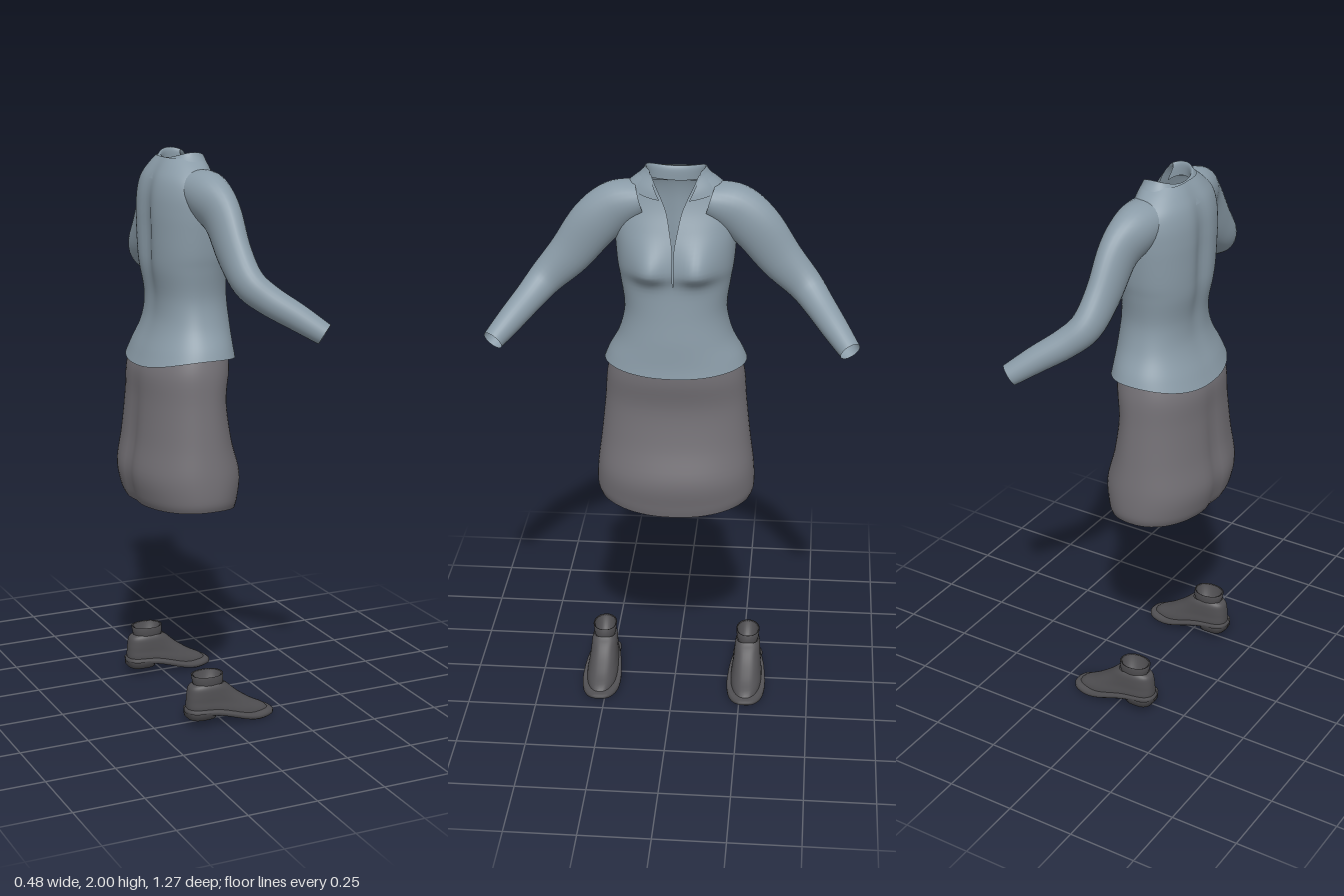
import * as THREE from 'three';
import { mergeVertices } from 'three/addons/utils/BufferGeometryUtils.js';

const mat = (name, color) => {
  const m = new THREE.MeshStandardMaterial({ color, side: THREE.DoubleSide });
  m.name = name;
  return m;
};

// Catmull-Rom value between b and c
const spline = (a, b, c, d, t) => 0.5 * (2 * b + (c - a) * t
  + (2 * a - 5 * b + 4 * c - d) * t * t + (3 * b - a - 3 * c + d) * t * t * t);

// Smooth in-between rows for a table of cross-sections
function refine(rows, n) {
  const out = [];
  for (let i = 0; i < rows.length - 1; i++) {
    const a = rows[Math.max(i - 1, 0)], b = rows[i], c = rows[i + 1], d = rows[Math.min(i + 2, rows.length - 1)];
    for (let k = 0; k < n; k++) out.push(b.map((v, j) => spline(a[j], v, c[j], d[j], k / n)));
  }
  out.push(rows[rows.length - 1]);
  return out;
}

// Skin over rings of points; point(row, u) returns x, y, z and u runs 0..1
function loft(rows, seg, point, flip = false) {
  const pos = [], idx = [];
  for (const r of rows) for (let j = 0; j <= seg; j++) pos.push(...point(r, j / seg));
  for (let i = 0; i < rows.length - 1; i++) {
    for (let j = 0; j < seg; j++) {
      const a = i * (seg + 1) + j, b = a + 1, c = a + seg + 1, d = c + 1;
      idx.push(...(flip ? [a, b, c, b, d, c] : [a, c, b, b, c, d]));
    }
  }
  const g = new THREE.BufferGeometry();
  g.setAttribute('position', new THREE.Float32BufferAttribute(pos, 3));
  g.setIndex(idx);
  const merged = mergeVertices(g, 1e-5);
  merged.computeVertexNormals();
  return merged;
}

// Rounded ring with its own front and back reach and an optional front gap;
// gives x, z and the facing (1 front, -1 back)
function oval(back, front, w, u, xc, n, gap = 0) {
  const t0 = gap > 0 ? Math.asin(Math.min(1, gap / w) ** (n / 2)) : 0;
  const t = t0 + u * (2 * Math.PI - 2 * t0);
  const c = Math.cos(t), s = Math.sin(t);
  const x = xc + Math.sign(c) * Math.abs(c) ** (2 / n) * (c > 0 ? front - xc : xc - back);
  return [x, Math.sign(s) * Math.abs(s) ** (2 / n) * w, c];
}

const gauss = (v, s) => Math.exp(-((v / s) ** 2));

export function createModel() {
  const cloth = mat('blue grey jacket', 0x8a9ba7);
  const wool = mat('warm grey skirt', 0x737075);
  const leather = mat('dark grey leather', 0x504f52);
  const model = new THREE.Group();
  const add = (name, geo, m, parent = model) => {
    const mesh = new THREE.Mesh(geo, m);
    mesh.name = name;
    parent.add(mesh);
  };

  // Skirt: y, back, front, half width
  const skirt = refine([
    [0.775, -0.212, 0.13, 0.272], [0.81, -0.228, 0.138, 0.283], [0.89, -0.243, 0.148, 0.281],
    [1.0, -0.226, 0.115, 0.267], [1.14, -0.212, 0.095, 0.252], [1.25, -0.205, 0.11, 0.243],
    [1.33, -0.17, 0.11, 0.222],
  ], 5);
  add('skirt', loft(skirt, 64, ([y, b, f, w], u) => {
    let [x, z, c] = oval(b, f, w, u, -0.04, 2.2);
    const low = Math.max(0, 1 - (y - 0.775) / 0.2);
    if (c < 0) x += 0.014 * gauss(z, 0.035) * gauss(y - 0.95, 0.25);
    return [x, y - low * (c > 0 ? 0.03 : 0.008) * c * c, z];
  }), wool);

  // Jacket body: y, back, front, half width, half gap of the neckline
  const body = refine([
    [1.305, -0.21, 0.135, 0.25, 0], [1.34, -0.19, 0.13, 0.235, 0], [1.41, -0.152, 0.125, 0.198, 0],
    [1.5, -0.145, 0.117, 0.178, 0], [1.6, -0.163, 0.112, 0.19, 0], [1.66, -0.168, 0.118, 0.2, 0.002],
    [1.74, -0.17, 0.105, 0.207, 0.003], [1.8, -0.17, 0.085, 0.21, 0.013], [1.86, -0.165, 0.06, 0.208, 0.026],
    [1.91, -0.152, 0.045, 0.192, 0.047], [1.95, -0.13, 0.04, 0.152, 0.066], [1.98, -0.108, 0.036, 0.112, 0.08],
  ], 5);
  add('jacketBody', loft(body, 80, ([y, b, f, w, gap], u) => {
    let [x, z, c] = oval(b, f, w, u, -0.03, 2.2, gap);
    const hem = Math.max(0, 1 - (y - 1.305) / 0.1);
    if (c > 0) {
      // bust, with a firmer fold below
      x += 0.042 * gauss(Math.abs(z) - 0.085, 0.06) * gauss(y - 1.665, y < 1.665 ? 0.04 : 0.08);
    } else {
      // hollow along the spine
      x += 0.02 * gauss(z, 0.04) * gauss(y - 1.72, 0.22);
    }
    return [x, y - hem * (c > 0 ? 0.02 : 0.04) * c * c, z];
  }), cloth);

  // Turned collar: y, back, front, half width, half gap
  const collar = refine([
    [1.93, -0.145, 0.062, 0.158, 0.05], [1.955, -0.132, 0.057, 0.14, 0.064],
    [1.985, -0.108, 0.046, 0.112, 0.08], [2.0, -0.094, 0.04, 0.102, 0.086],
    [1.985, -0.086, 0.032, 0.097, 0.084], [1.95, -0.086, 0.03, 0.1, 0.07],
  ], 4);
  add('collar', loft(collar, 56, ([y, b, f, w, gap], u) => {
    const [x, z, c] = oval(b, f, w, u, -0.03, 2.2, gap);
    return [x, y - (c < 0 ? 0.022 : 0.03) * c * c, z];
  }), cloth);

  // Sleeves: centre x, y, z, then half thickness fore-aft and across
  const sleeve = refine([
    [-0.025, 1.885, 0.12, 0.085, 0.065], [-0.018, 1.858, 0.2, 0.076, 0.087], [-0.003, 1.8, 0.275, 0.06, 0.088],
    [0, 1.69, 0.36, 0.053, 0.077], [0.012, 1.605, 0.442, 0.052, 0.062], [0.06, 1.553, 0.492, 0.05, 0.053],
    [0.14, 1.497, 0.55, 0.045, 0.046], [0.212, 1.444, 0.604, 0.038, 0.037],
  ], 5);
  const centres = sleeve.map(r => new THREE.Vector3(r[0], r[1], r[2]));
  const frames = sleeve.map((r, i) => {
    const t = centres[Math.min(i + 1, centres.length - 1)].clone().sub(centres[Math.max(i - 1, 0)]).normalize();
    const u = new THREE.Vector3(1, 0, 0).addScaledVector(t, -t.x).normalize();
    return { c: centres[i], u, v: t.clone().cross(u), a: r[3], b: r[4] };
  });
  for (const [name, s] of [['leftSleeve', -1], ['rightSleeve', 1]]) {
    add(name, loft(frames, 28, ({ c, u, v, a, b }, k) => {
      const t = k * Math.PI * 2;
      const p = c.clone().addScaledVector(u, a * Math.cos(t)).addScaledVector(v, b * Math.sin(t));
      return [p.x, p.y, p.z * s];
    }, s > 0), cloth);
  }

  // Shoes: each table is y, back, front, half width
  const upper = refine([
    [0.058, -0.132, 0.186, 0.062], [0.072, -0.133, 0.17, 0.06], [0.09, -0.132, 0.115, 0.055],
    [0.112, -0.13, 0.06, 0.051], [0.14, -0.124, 0.018, 0.045], [0.152, -0.108, 0.004, 0.039],
  ], 4);
  const cuff = [[0.138, -0.1, 0.0, 0.036], [0.155, -0.108, 0.005, 0.041], [0.184, -0.114, 0.004, 0.044],
    [0.18, -0.104, -0.004, 0.038], [0.13, -0.095, -0.01, 0.032], [0.128, -0.051, -0.049, 0.001]];
  const sole = [[0.042, 0.029, 0.031, 0.001], [0.042, -0.132, 0.192, 0.066], [0.048, -0.138, 0.2, 0.073],
    [0.058, -0.138, 0.2, 0.073], [0.064, -0.132, 0.192, 0.067], [0.064, 0.029, 0.031, 0.001]];
  const heel = [[0.03, -0.081, -0.079, 0.001], [0.03, -0.134, -0.03, 0.054], [0.055, -0.136, -0.03, 0.056]];
  // the lower shoe drops toward the toe and narrows toward the heel
  const drop = x => -0.042 * THREE.MathUtils.smoothstep(x, -0.06, 0.14);
  const taper = x => 0.8 + 0.2 * THREE.MathUtils.smoothstep(x, -0.1, 0.1);
  const ring = (xc, n) => ([y, b, f, w], u) => {
    const [x, z] = oval(b, f, w, u, xc, n);
    return [x, y, z];
  };
  const shapedRing = (xc, n) => (row, u) => {
    const [x, y, z] = ring(xc, n)(row, u);
    const k = THREE.MathUtils.clamp((0.134 - y) / 0.07, 0, 1);
    return [x, y + drop(x) * k, z * (1 + (taper(x) - 1) * k)];
  };
  for (const [side, s] of [['left', -1], ['right', 1]]) {
    const shoe = new THREE.Group();
    shoe.name = side + 'Shoe';
    shoe.position.z = s * 0.271;
    add('shoeUpper', loft(upper, 40, shapedRing(-0.03, 2.5)), leather, shoe);
    add('ankleCuff', loft(cuff, 32, ring(-0.05, 2.1)), leather, shoe);
    add('sole', loft(sole, 48, shapedRing(0.03, 2.7)), leather, shoe);
    add('heel', loft(heel, 32, ring(-0.08, 3)), leather, shoe);
    model.add(shoe);
  }
  return model;
}
